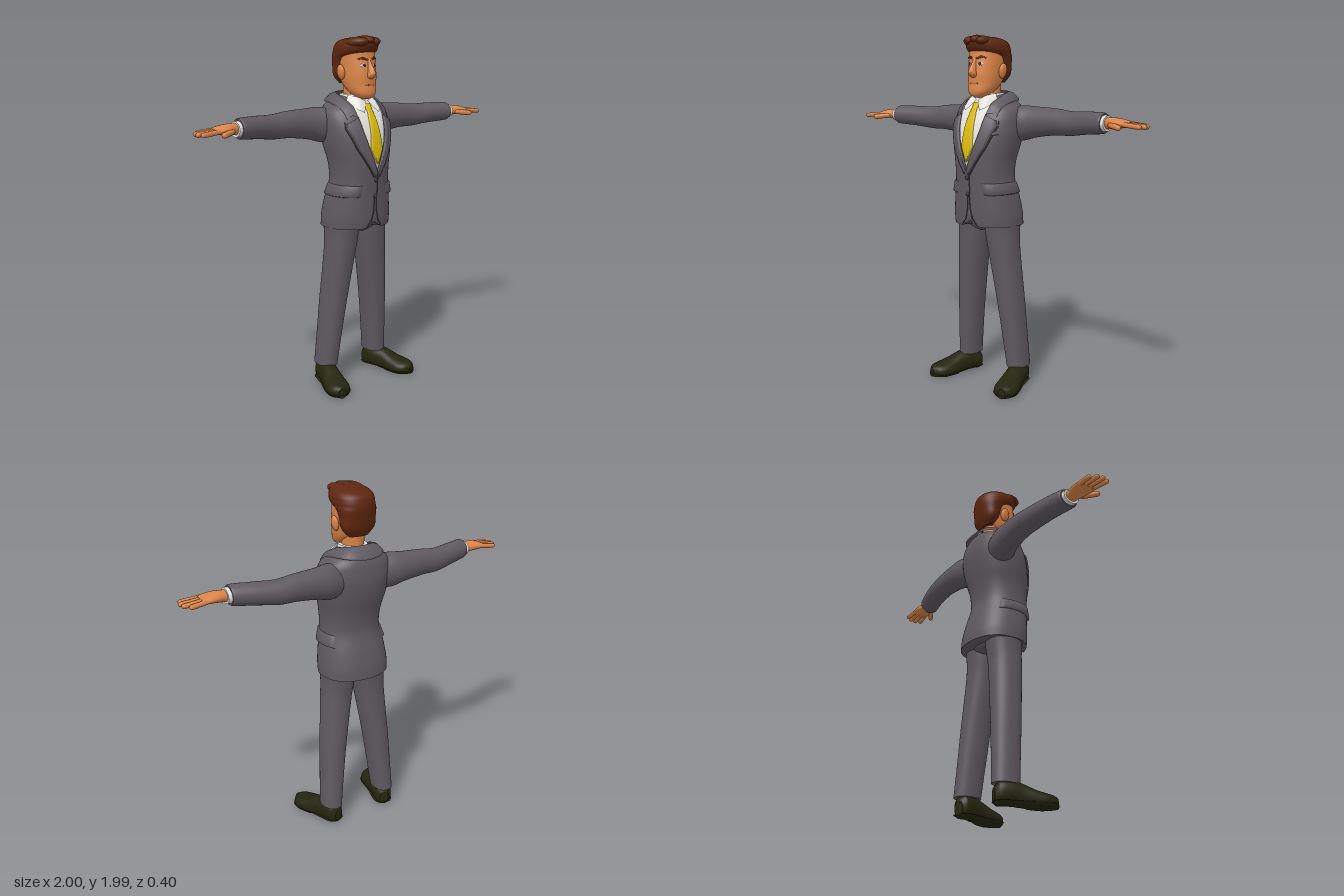
import * as THREE from 'three';

const paint = (name, color) => {
  const m = new THREE.MeshStandardMaterial({ color, side: THREE.DoubleSide });
  m.name = name;
  return m;
};

// Smooth interpolation of section rows [t, c1, c2, r1, r2]
function sample(secs, t) {
  let i = 0;
  while (i < secs.length - 2 && t > secs[i + 1][0]) i++;
  const at = k => secs[Math.min(Math.max(k, 0), secs.length - 1)];
  const a = at(i), b = at(i + 1), h = b[0] - a[0];
  const u = Math.min(Math.max((t - a[0]) / h, 0), 1);
  const slope = (p, q, k) => (q[k] - p[k]) / (q[0] - p[0]);
  return a.map((v, k) => {
    if (k === 0) return t;
    const m0 = slope(at(i - 1), b, k) * h, m1 = slope(a, at(i + 2), k) * h;
    const u2 = u * u, u3 = u2 * u;
    return (2 * u3 - 3 * u2 + 1) * v + (u3 - 2 * u2 + u) * m0 + (3 * u2 - 2 * u3) * b[k] + (u3 - u2) * m1;
  });
}

function build(pos, idx) {
  const g = new THREE.BufferGeometry();
  g.setAttribute('position', new THREE.Float32BufferAttribute(pos, 3));
  g.setIndex(idx);
  g.computeVertexNormals();
  return g;
}

// Point on a superellipse section
function ringPoint(s, ang, axis, p, off = 0) {
  const pw = v => Math.sign(v) * Math.abs(v) ** (2 / p);
  const a = s[1] + (s[3] + off) * pw(Math.cos(ang));
  const b = s[2] + (s[4] + off) * pw(Math.sin(ang)) * (axis === 'y' ? 1 : -1);
  return axis === 'y' ? [a, s[0], b] : axis === 'x' ? [s[0], a, b] : [a, b, s[0]];
}

// Closed body swept through elliptical sections along an axis
function loft(secs, { axis = 'y', p = 2, n = 36, k = 5, rule } = {}) {
  const pos = [], idx = [], ts = [];
  secs.forEach((s, i) => {
    if (i) for (let j = 1; j <= k; j++) ts.push(secs[i - 1][0] + (s[0] - secs[i - 1][0]) * j / k);
    else ts.push(s[0]);
  });
  const ring = t => {
    const s = sample(secs, t);
    for (let j = 0; j < n; j++) {
      const q = ringPoint(s, j / n * Math.PI * 2, axis, p);
      pos.push(...(rule ? rule(q) : q));
    }
    return s;
  };
  ts.forEach((t, i) => {
    ring(t);
    if (i) for (let j = 0; j < n; j++) {
      const a = (i - 1) * n + j, c = (i - 1) * n + (j + 1) % n;
      idx.push(a, a + n, c, c, a + n, c + n);
    }
  });
  [ts[0], ts[ts.length - 1]].forEach((t, e) => {
    const start = pos.length / 3, s = ring(t);
    const mid = axis === 'y' ? [s[1], t, s[2]] : axis === 'x' ? [t, s[1], s[2]] : [s[1], s[2], t];
    pos.push(...(rule ? rule(mid) : mid));
    for (let j = 0; j < n; j++) {
      const a = start + j, b = start + (j + 1) % n;
      idx.push(start + n, ...(e ? [b, a] : [a, b]));
    }
  });
  return build(pos, idx);
}

// Open sheet from equal-length rows of points
function sheet(rows) {
  const m = rows[0].length, idx = [];
  for (let i = 1; i < rows.length; i++) for (let j = 1; j < m; j++) {
    const a = (i - 1) * m + j - 1, b = a + m;
    idx.push(a, b, a + 1, a + 1, b, b + 1);
  }
  return build(rows.flat(2), idx);
}
const curveSheet = (rows, n = 24) => sheet(rows.map(r =>
  new THREE.CatmullRomCurve3(r.map(q => new THREE.Vector3(...q))).getPoints(n).map(v => v.toArray())));

// Height of a body's front surface at (x, y)
function frontZ(body, x, y) {
  const s = sample(body.secs, y);
  return s[2] + s[4] * Math.max(0, 1 - Math.abs((x - s[1]) / s[3]) ** body.p) ** (1 / body.p);
}

// Plate between two (x, y) edges laid over the front of a body
const STEPS = [0, 0.04, 0.2, 0.4, 0.6, 0.8, 0.96, 1];
function drape(body, A, B, off) {
  const rows = [], last = A.length - 1, k = 6;
  for (let i = 0; i <= last * k; i++) {
    const f = Math.min(Math.floor(i / k), last - 1), u = i / k - f;
    const mix = E => [0, 1].map(d => E[f][d] + (E[f + 1][d] - E[f][d]) * u);
    const a = mix(A), b = mix(B);
    rows.push(STEPS.map(s => {
      const x = a[0] + (b[0] - a[0]) * s, y = a[1] + (b[1] - a[1]) * s;
      return [x, y, frontZ(body, x, y) + (s === 0 || s === 1 ? off * 0.2 : off)];
    }));
  }
  return sheet(rows);
}
const oval = (body, cx, cy, rx, ry, off) => {
  const side = d => [0, 1, 2, 3, 4, 5, 6].map(i => [cx + d * rx * Math.sin(i * Math.PI / 6), cy + ry * Math.cos(i * Math.PI / 6)]);
  return drape(body, side(-1), side(1), off);
};
const flip = E => E.map(([x, y]) => [-x, y]);
// [y, halfWidth, back, front] -> section row
const body = (rows, p) => ({ p, secs: rows.map(([y, w, b, f]) => [y, 0, (b + f) / 2, w, (f - b) / 2]) });

export function createModel() {
  const root = new THREE.Group();
  root.name = 'suitedMan';
  const suit = paint('suit grey', 0x5f5960), seam = paint('seam grey', 0x413d43), white = paint('shirt white', 0xe6e4df);
  const gold = paint('tie yellow', 0xdcba0a), skin = paint('skin', 0xdb8448), lip = paint('lip', 0xb5623a);
  const hairC = paint('hair brown', 0x5e260f), dark = paint('eye dark', 0x2c140a), shoeC = paint('shoe dark', 0x25260f);

  const add = (name, geo, mat) => {
    const m = new THREE.Mesh(geo, mat);
    m.name = name;
    root.add(m);
  };
  // Adds a left part and its mirrored right twin
  const pair = (name, geo, mat) => {
    add(name + 'Left', geo, mat);
    const g = geo.clone().scale(-1, 1, 1), ix = g.index;
    for (let i = 0; i < ix.count; i += 3) {
      const t = ix.getX(i + 1);
      ix.setX(i + 1, ix.getX(i + 2));
      ix.setX(i + 2, t);
    }
    add(name + 'Right', g, mat);
  };

  // Jacket body
  const torso = body([[0.94, 0.2, -0.188, 0.152], [1.0, 0.2, -0.184, 0.158], [1.1, 0.187, -0.162, 0.162], [1.2, 0.168, -0.135, 0.168],
    [1.3, 0.172, -0.142, 0.174], [1.4, 0.194, -0.168, 0.17], [1.5, 0.206, -0.184, 0.15], [1.58, 0.198, -0.178, 0.114],
    [1.62, 0.165, -0.167, 0.086], [1.65, 0.115, -0.148, 0.06], [1.67, 0.08, -0.12, 0.04]], 2.25);
  add('jacket', loft(torso.secs, { p: torso.p, n: 48,
    rule: ([x, y, z]) => [x, y + (z > 0 && y < 1 ? 0.035 * Math.exp(-((x / 0.035) ** 2)) * (1 - y) / 0.06 : 0), z] }), suit);

  // Shirt front, tie and lapels
  const vEdge = [[0.09, 1.635], [0.09, 1.57], [0.06, 1.43], [0.003, 1.28]];
  add('shirtFront', drape(torso, flip(vEdge), vEdge, 0.004), white);
  const tieEdge = [[0.024, 1.63], [0.017, 1.595], [0.026, 1.54], [0.04, 1.39], [0.002, 1.305]];
  add('tie', drape(torso, flip(tieEdge), tieEdge, 0.012), gold);
  pair('lapel', drape(torso, [[0.088, 1.565], [0.078, 1.49], [0.056, 1.41], [0.0, 1.26]],
    [[0.148, 1.535], [0.155, 1.5], [0.11, 1.39], [0.014, 1.235]], 0.015), suit);
  pair('lapelSeam', drape(torso, [[0.156, 1.535], [0.157, 1.5], [0.112, 1.39], [0.015, 1.235]],
    [[0.158, 1.536], [0.161, 1.5], [0.116, 1.388], [0.019, 1.232]], 0.004), seam);

  // Jacket collar around the neck
  const fz = (x, y, o) => [x, y, frontZ(torso, x, y) + o];
  const around = pts => [...pts, ...pts.slice(0, -1).reverse().map(([x, y, z]) => [-x, y, z])];
  const inner = around([fz(0.09, 1.565, 0.014), fz(0.094, 1.62, 0.016), [0.1, 1.67, -0.02], [0.075, 1.688, -0.095], [0, 1.692, -0.118]]);
  const outer = around([fz(0.142, 1.56, 0.006), fz(0.148, 1.6, 0.012), [0.152, 1.642, -0.035], [0.11, 1.648, -0.148], [0, 1.64, -0.182]]);
  const crest = inner.map((q, i) => q.map((v, d) => (v + outer[i][d]) / 2 + (d === 1 ? 0.01 : 0)));
  const hemEdge = outer.map(([x, y, z]) => [x, y - 0.012, z]);
  add('jacketCollar', curveSheet([inner, crest, outer, hemEdge], 40), suit);

  // Shirt collar band and points
  add('shirtCollar', loft([[1.58, 0, -0.012, 0.095, 0.095], [1.64, 0, -0.015, 0.088, 0.092], [1.68, 0, -0.02, 0.077, 0.086]]), white);
  pair('collarPoint', curveSheet([
    [[0.008, 1.645, 0.085], [0.045, 1.665, 0.07], [0.08, 1.678, 0.02]],
    [[0.024, 1.615, 0.108], [0.06, 1.635, 0.098], [0.094, 1.65, 0.03]],
    [[0.05, 1.585, 0.13], [0.075, 1.6, 0.112], [0.1, 1.63, 0.04]]]), white);

  // Front opening, buttons and pockets
  const line = (pts, w) => drape(torso, pts, pts.map(([x, y]) => [x + w, y]), 0.005);
  add('frontSeam', line([[0.008, 1.25], [0.008, 1.12]], 0.004), seam);
  pair('frontEdge', line([[0.004, 1.12], [0.008, 1.04], [0.022, 0.985], [0.05, 0.95]], 0.004), seam);
  [1.215, 1.125].forEach((y, i) => add('button' + (i + 1),
    new THREE.SphereGeometry(0.012, 16, 10).scale(1, 1, 0.5).translate(-0.004, y, frontZ(torso, 0, y) + 0.005), seam));
  const flap = [[1.188, 0], [1.185, 0.008], [1.155, 0.011], [1.128, 0.013], [1.122, 0]].map(([y, off]) =>
    Array.from({ length: 19 }, (_, j) => ringPoint(sample(torso.secs, y), -0.55 + j / 18 * 1.65, 'y', torso.p, j % 18 ? off : 0)));
  pair('pocketFlap', sheet(flap), suit);
  add('breastPocket', drape(torso, [[0.105, 1.465], [0.165, 1.48]], [[0.105, 1.443], [0.165, 1.458]], 0.008), suit);

  // Sleeves and cuffs
  pair('sleeve', loft([[0.12, 1.51, -0.06, 0.09, 0.085], [0.2, 1.515, -0.083, 0.097, 0.082], [0.27, 1.522, -0.095, 0.085, 0.073],
    [0.4, 1.527, -0.1, 0.073, 0.066], [0.5, 1.522, -0.097, 0.066, 0.065], [0.62, 1.53, -0.073, 0.06, 0.063],
    [0.735, 1.535, -0.042, 0.055, 0.061], [0.745, 1.535, -0.04, 0.05, 0.056]], { axis: 'x' }), suit);
  pair('cuff', loft([[0.72, 1.535, -0.042, 0.042, 0.05], [0.765, 1.535, -0.038, 0.041, 0.049]], { axis: 'x' }), white);

  // Hands
  pair('palm', loft([[0.74, 1.535, -0.04, 0.031, 0.034], [0.78, 1.537, -0.037, 0.03, 0.039], [0.82, 1.539, -0.032, 0.027, 0.052],
    [0.87, 1.537, -0.031, 0.02, 0.056], [0.895, 1.535, -0.032, 0.012, 0.05]], { axis: 'x' }), skin);
  const digit = (name, a, b, r) => {
    const A = new THREE.Vector3(...a), B = new THREE.Vector3(...b), d = B.clone().sub(A);
    const g = new THREE.CapsuleGeometry(r, d.length() - r, 6, 12);
    g.applyQuaternion(new THREE.Quaternion().setFromUnitVectors(new THREE.Vector3(0, 1, 0), d.normalize()));
    pair(name, g.translate(...A.add(B).multiplyScalar(0.5).toArray()), skin);
  };
  [[0.008, 0.022, 0.982], [-0.019, -0.012, 0.993], [-0.046, -0.046, 0.988], [-0.072, -0.08, 0.962]].forEach(([z0, z1, x], i) =>
    digit('finger' + (i + 1), [0.865, 1.537, z0], [x, 1.526, z1], 0.013));
  digit('thumb', [0.8, 1.53, 0.002], [0.88, 1.52, 0.05], 0.015);

  // Trousers
  pair('trouserLeg', loft([[0.11, 0.183, -0.065, 0.058, 0.078], [0.3, 0.166, -0.051, 0.065, 0.081], [0.5, 0.147, -0.037, 0.073, 0.086],
    [0.8, 0.111, -0.017, 0.087, 0.093], [0.9, 0.1, -0.016, 0.094, 0.1], [1.0, 0.1, -0.016, 0.098, 0.11]], { p: 2.2 }), suit);
  add('trouserSeat', loft([[0.905, 0, -0.016, 0.05, 0.07], [0.93, 0, -0.016, 0.12, 0.105], [1.0, 0, -0.016, 0.17, 0.12]]), suit);

  // Shoes turned outward, with soles
  const last = [[-0.165, 0, 0.05, 0.03, 0.04], [-0.14, 0, 0.06, 0.05, 0.065], [-0.08, 0, 0.065, 0.056, 0.065], [-0.02, 0, 0.052, 0.056, 0.066],
    [0.05, 0, 0.036, 0.065, 0.055], [0.11, 0, 0.03, 0.068, 0.045], [0.15, 0, 0.03, 0.052, 0.037], [0.175, 0, 0.028, 0.022, 0.028]];
  const shoe = rule => loft(last, { axis: 'z', p: 2.2, rule }).rotateY(0.3).translate(0.215, 0, 0.03);
  pair('shoe', shoe(([x, y, z]) => [x, Math.max(y, 0.004), z]), shoeC);
  pair('sole', shoe(([x, y, z]) => [x * 1.06, Math.min(Math.max(y, z > -0.06 && z < 0.02 ? 0.008 : 0), 0.018), z * 1.02]), shoeC);

  // Head, neck, ears and nose
  const head = body([[1.656, 0.022, 0.055, 0.098], [1.666, 0.046, 0.02, 0.116], [1.69, 0.069, -0.02, 0.124], [1.73, 0.084, -0.07, 0.12],
    [1.78, 0.092, -0.1, 0.12], [1.83, 0.095, -0.115, 0.114], [1.88, 0.097, -0.12, 0.105], [1.93, 0.094, -0.11, 0.095], [1.97, 0.05, -0.06, 0.06]], 2.2);
  add('head', loft(head.secs, { p: head.p }), skin);
  add('neck', loft([[1.6, 0, -0.02, 0.062, 0.066], [1.68, 0, -0.02, 0.06, 0.065], [1.76, 0, -0.025, 0.062, 0.065]]), skin);
  pair('ear', new THREE.SphereGeometry(1, 20, 14).scale(0.017, 0.042, 0.028).rotateZ(-0.15).translate(0.104, 1.8, -0.008), skin);
  add('nose', loft(body([[1.764, 0.01, 0.1, 0.128], [1.778, 0.022, 0.1, 0.147], [1.797, 0.02, 0.1, 0.156], [1.835, 0.012, 0.09, 0.134],
    [1.868, 0.009, 0.09, 0.112]], 2).secs, { n: 20 }), skin);

  // Face details
  pair('eye', oval(head, 0.038, 1.838, 0.015, 0.01, 0.003), white);
  pair('pupil', oval(head, 0.036, 1.838, 0.007, 0.009, 0.005), dark);
  pair('eyebrow', drape(head, [[0.016, 1.873], [0.04, 1.882], [0.066, 1.872]], [[0.016, 1.862], [0.04, 1.87], [0.066, 1.866]], 0.006), hairC);
  add('mouth', oval(head, 0, 1.733, 0.034, 0.005, 0.003), lip);

  // Hair with a swept quiff
  add('hair', loft(body([[1.735, 0.058, -0.1, -0.05], [1.78, 0.098, -0.122, -0.02], [1.84, 0.105, -0.132, 0.004], [1.88, 0.11, -0.138, 0.035],
    [1.9, 0.113, -0.138, 0.09], [1.92, 0.115, -0.135, 0.113], [1.95, 0.108, -0.122, 0.124], [1.973, 0.085, -0.085, 0.118],
    [1.984, 0.045, -0.03, 0.085]], 2.2).secs, { p: 2.2 }), hairC);
  [-0.055, -0.012, 0.03].forEach((x, i) => add('quiffLock' + (i + 1),
    new THREE.SphereGeometry(1, 20, 14).scale(0.045, 0.03, 0.075).rotateX(-0.1).rotateY(0.35).translate(x, 1.958 + 0.006 * (i % 2), 0.062), hairC));
  return root;
}
